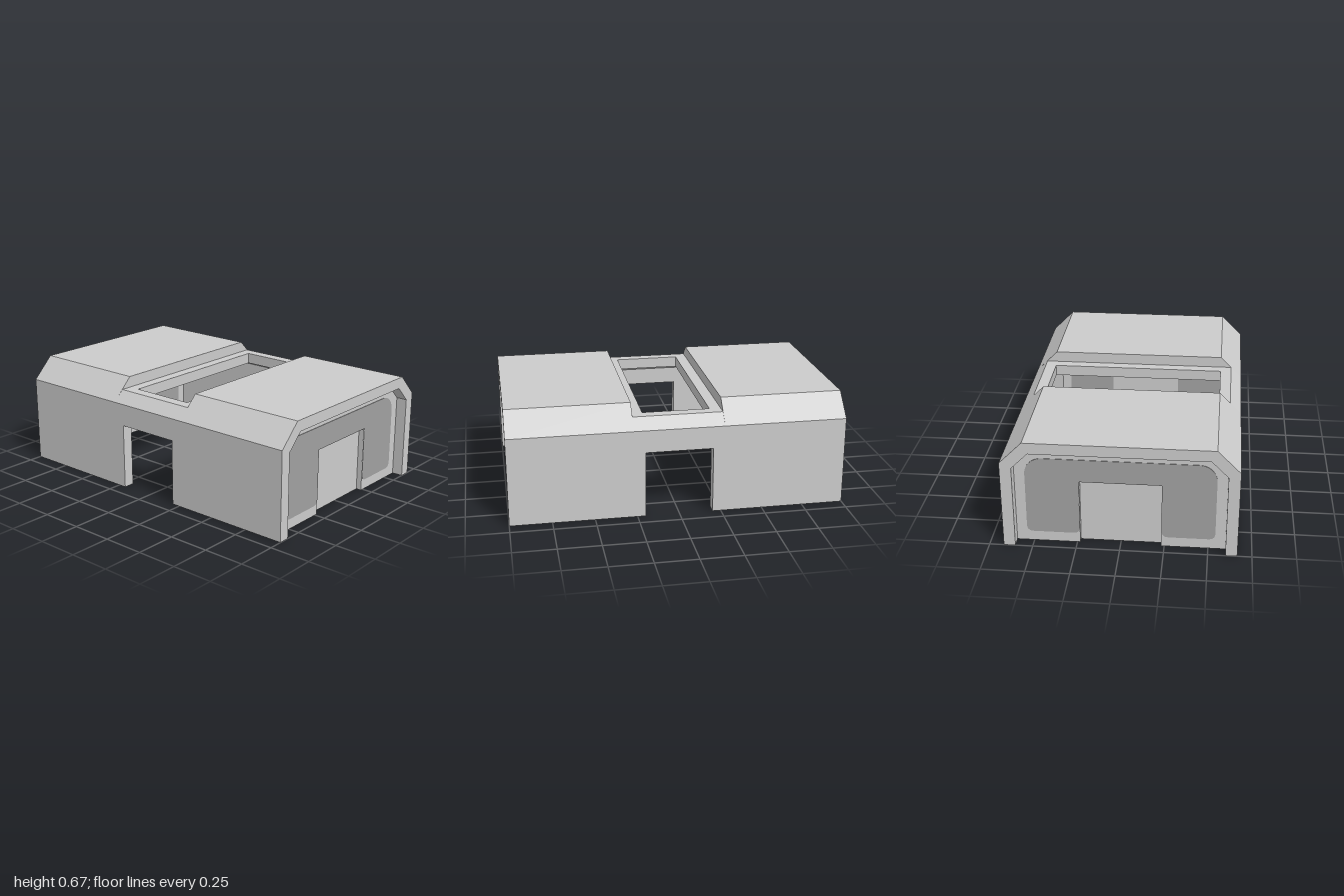
import * as THREE from 'three';

const shellMat = new THREE.MeshStandardMaterial({ color: 0xcccccc });
shellMat.name = 'light grey';
const panelMat = new THREE.MeshStandardMaterial({ color: 0xa1a1a1 });
panelMat.name = 'mid grey';

const polygon = (pts) => new THREE.Shape(pts.map(([x, y]) => new THREE.Vector2(x, y)));
const mirrorX = (pts) => pts.map(([x, y]) => [-x, y]).reverse();

// Extrudes a front-facing shape between two depths
function slab(name, shape, z0, z1, mat = shellMat) {
  const geo = new THREE.ExtrudeGeometry(shape, { depth: z1 - z0, bevelEnabled: false, curveSegments: 8 });
  geo.translate(0, 0, z0);
  const mesh = new THREE.Mesh(geo, mat);
  mesh.name = name;
  return mesh;
}

// Rounded panel with a doorway cut into its lower edge
function panelShape() {
  const w = 0.54, b = 0.062, t = 0.54, d = 0.234, dt = 0.4, R = 0.1, r = 0.04;
  const s = new THREE.Shape();
  s.moveTo(d + r, b);
  s.lineTo(w - r, b);
  s.quadraticCurveTo(w, b, w, b + r);
  s.lineTo(w, t - R);
  s.absarc(w - R, t - R, R, 0, Math.PI / 2, false);
  s.lineTo(-w + R, t);
  s.absarc(-w + R, t - R, R, Math.PI / 2, Math.PI, false);
  s.lineTo(-w, b + r);
  s.quadraticCurveTo(-w, b, -w + r, b);
  s.lineTo(-d - r, b);
  s.quadraticCurveTo(-d, b, -d, b + r);
  s.lineTo(-d, dt);
  s.lineTo(d, dt);
  s.lineTo(d, b + r);
  s.quadraticCurveTo(d, b, d + r, b);
  return s;
}

// One end: chamfered shell, recessed wall, door and painted panels
function createEnd() {
  const end = new THREE.Group();
  const outer = [[0.667, 0], [0.667, 0.535], [0.535, 0.667]];
  const inner = [[0.6, 0], [0.6, 0.505], [0.505, 0.6]];
  const arch = [...outer, ...mirrorX(outer), ...inner.map(([x, y]) => [-x, y]), ...[...inner].reverse()];
  end.add(slab('endShell', polygon(arch), 0.267, 1));

  const doorCut = [[-0.233, 0], [-0.233, 0.4], [0.233, 0.4], [0.233, 0]];
  end.add(slab('endWall', polygon([...inner, ...mirrorX(inner), ...doorCut]), 0.867, 0.933));
  end.add(slab('endDoor', polygon(doorCut), 0.867, 0.9));

  end.add(slab('outerPanel', panelShape(), 0.933, 0.936, panelMat));
  end.add(slab('innerPanel', panelShape(), 0.864, 0.867, panelMat));
  return end;
}

export function createModel() {
  const model = new THREE.Group();
  model.name = 'shelter';

  const front = createEnd();
  front.name = 'frontEnd';
  const back = createEnd();
  back.name = 'backEnd';
  back.rotation.y = Math.PI;
  model.add(front, back);

  // Middle side walls: a lintel over each side doorway with a pier either side
  const top = [[0.667, 0.535], [0.6, 0.6], [0.533, 0.6], [0.533, 0.572], [0.6, 0.505]];
  for (const side of [1, -1]) {
    const section = (base) => {
      const pts = [[0.667, base], ...top, [0.6, base]];
      return polygon(side > 0 ? pts : mirrorX(pts));
    };
    model.add(slab('sideLintel', section(0.4), -0.2, 0.2));
    model.add(slab('sidePier', section(0), 0.2, 0.267));
    model.add(slab('sidePier', section(0), -0.267, -0.2));
  }

  // Sunken frame around the roof opening
  const rect = (w, d) => [[-w, -d], [w, -d], [w, d], [-w, d]];
  const frameShape = polygon(rect(0.572, 0.333));
  frameShape.holes.push(new THREE.Path(rect(0.533, 0.2).reverse().map(([x, y]) => new THREE.Vector2(x, y))));
  const frame = slab('roofFrame', frameShape, 0.533, 0.6);
  frame.geometry.rotateX(-Math.PI / 2);
  model.add(frame);

  return model;
}
